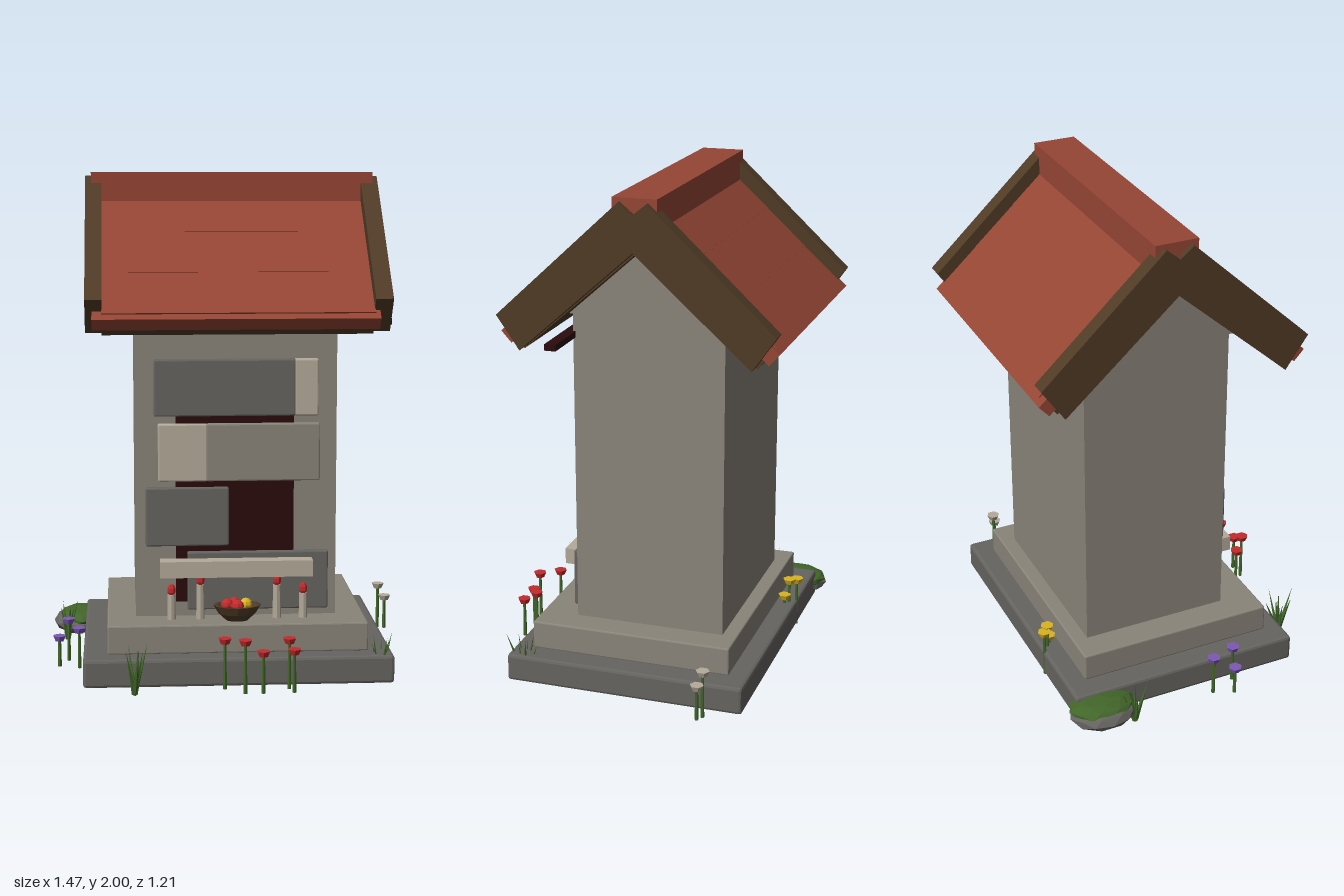
import * as THREE from 'three';
import { RoundedBoxGeometry } from 'three/addons/geometries/RoundedBoxGeometry.js';

const mat = (name, color, extra = {}) => {
  const m = new THREE.MeshStandardMaterial({ color, flatShading: true, ...extra });
  m.name = name;
  return m;
};

export function createModel() {
  const root = new THREE.Group();
  const wall = mat('wallStone', 0x8a857a);
  const stone = mat('darkStone', 0x666460);
  const pale = mat('paleStone', 0xb3aa99);
  const tile = mat('roofRed', 0x964635);
  const wood = mat('darkWood', 0x503b26);
  const maroon = mat('darkMaroon', 0x2a0b0d);
  const red = mat('brightRed', 0xc42a2c);
  const purple = mat('purple', 0x7d58b4);
  const yellow = mat('yellow', 0xd9b322);
  const green = mat('green', 0x42662a);

  const add = (name, geo, m, x = 0, y = 0, z = 0, parent = root) => {
    const mesh = new THREE.Mesh(geo, m);
    mesh.name = name;
    mesh.position.set(x, y, z);
    parent.add(mesh);
    return mesh;
  };
  // Box given by its limits, optionally with softened edges
  const block = (name, m, [x0, x1], [y0, y1], [z0, z1], r = 0) => {
    const s = [x1 - x0, y1 - y0, z1 - z0];
    const geo = r ? new RoundedBoxGeometry(...s, 1, r) : new THREE.BoxGeometry(...s);
    return add(name, geo, m, (x0 + x1) / 2, (y0 + y1) / 2, (z0 + z1) / 2);
  };
  // Profile of [z, y] points extruded along x
  const extrudeX = (name, m, pts, x0, x1) => {
    const shape = new THREE.Shape(pts.map(([z, y]) => new THREE.Vector2(-z, y)));
    const geo = new THREE.ExtrudeGeometry(shape, { depth: x1 - x0, bevelEnabled: false });
    geo.rotateY(Math.PI / 2);
    return add(name, geo, m, x0, 0, 0);
  };
  const RIDGE = -0.058;
  // Right half of a symmetric gable profile, given from the ridge outward and back
  const gable = (half) => [
    ...half.map(([d, y]) => [RIDGE + d, y]),
    ...half.filter(([d]) => d > 0).reverse().map(([d, y]) => [RIDGE - d, y]),
  ];

  // Stepped base and body
  block('baseSlab', stone, [-0.59, 0.63], [0.013, 0.125], [-0.5, 0.478], 0.012);
  block('upperStep', wall, [-0.495, 0.535], [0.125, 0.24], [-0.42, 0.4], 0.006);
  block('body', wall, [-0.38, 0.42], [0.235, 1.52], [-0.36, 0.25]);
  extrudeX('gableWall', wall, [[-0.36, 1.515], [0.25, 1.515], [RIDGE, 1.79]], -0.42, 0.46);

  // Dark opening with the slabs that close it
  block('opening', maroon, [-0.22, 0.25], [0.3, 1.15], [0.25, 0.257]);
  const slabs = [
    [stone, -0.305, 0.255, 1.05, 1.275], [pale, 0.25, 0.345, 1.05, 1.275],
    [wall, -0.1, 0.352, 0.79, 1.02], [pale, -0.29, -0.095, 0.79, 1.02],
    [stone, -0.34, -0.01, 0.53, 0.765], [stone, -0.175, 0.387, 0.27, 0.505],
  ];
  for (const [m, x0, x1, y0, y1] of slabs)
    block('frontSlab', m, [x0, x1], [y0, y1], [0.245, 0.278], 0.006);
  block('shelf', pale, [-0.285, 0.32], [0.415, 0.48], [0.275, 0.34]);

  // Roof deck and gable boards
  extrudeX('roofDeck', wood, gable([[0, 1.79], [0.46, 1.385], [0.515, 1.45], [0, 1.93]]), -0.505, 0.54);
  for (const [x0, x1] of [[-0.568, -0.503], [0.537, 0.605]])
    extrudeX('gableBoard', wood,
      gable([[0, 1.8], [0.455, 1.394], [0.547, 1.526], [0.055, 1.985], [0, 1.94]]), x0, x1);

  // Overlapping red planks and eave bars on both slopes
  const slope = 0.91, angle = Math.atan(slope);
  for (const side of [1, -1]) {
    [[0.02, 0.2], [0.19, 0.363], [0.353, 0.52]].forEach(([d0, d1], i) => {
      const d = (d0 + d1) / 2;
      const plank = add('roofPlank',
        new THREE.BoxGeometry(1.045, 0.035, (d1 - d0) / Math.cos(angle)), tile,
        0.0175, 1.935 - slope * d + 0.002 * (2 - i), RIDGE + side * d);
      plank.rotation.x = side * angle;
    });
    const bar = add('eaveBar', new THREE.BoxGeometry(1.1, 0.06, 0.06), tile,
      0.008, 1.45, RIDGE + side * 0.505);
    bar.rotation.x = side * angle;
  }
  block('ridgeCap', tile, [-0.545, 0.585], [1.875, 2], [-0.147, 0.027]);
  block('sidePeg', maroon, [0.3, 0.63], [1.41, 1.435], [0.24, 0.285]);

  // Candles
  for (const [x, h] of [[-0.24, 0.1], [-0.125, 0.14], [0.18, 0.135], [0.285, 0.1]]) {
    add('candle', new THREE.CylinderGeometry(0.015, 0.017, h, 8), pale, x, 0.24 + h / 2, 0.3);
    const flame = add('flame', new THREE.SphereGeometry(0.017, 6, 5), red, x, 0.258 + h, 0.3);
    flame.scale.y = 1.5;
  }

  // Bowl of fruit
  const bowlProfile = [[0, 0.24], [0.045, 0.24], [0.075, 0.268], [0.095, 0.302], [0.08, 0.302], [0.05, 0.275], [0, 0.27]];
  const bowl = add('bowl', new THREE.LatheGeometry(bowlProfile.map((p) => new THREE.Vector2(...p)), 12), wood, 0.02, 0, 0.325);
  bowl.scale.z = 0.75;
  [[-0.02, 0.325, red], [0.02, 0.345, red], [0.055, 0.315, yellow], [0.01, 0.3, red]].forEach(([x, z, m]) =>
    add('fruit', new THREE.SphereGeometry(0.026, 8, 6), m, x, 0.3, z));

  // Flowers: x, z, height
  const flowers = [
    [red, [[-0.04, 0.51, 0.205], [0.035, 0.575, 0.215], [0.105, 0.575, 0.17], [0.21, 0.52, 0.205], [0.225, 0.57, 0.175]]],
    [purple, [[-0.655, 0.08, 0.18], [-0.69, 0.16, 0.13], [-0.61, 0.19, 0.17]]],
    [pale, [[0.685, -0.36, 0.2], [0.712, -0.345, 0.15]]],
    [yellow, [[-0.2, -0.455, 0.155], [-0.25, -0.495, 0.215], [-0.22, -0.47, 0.22]]],
  ];
  for (const [m, list] of flowers)
    for (const [x, z, h] of list) {
      const flower = new THREE.Group();
      flower.name = 'flower';
      flower.position.set(x, 0.013, z);
      root.add(flower);
      add('stem', new THREE.CylinderGeometry(0.006, 0.008, h - 0.013, 5), green, 0, (h - 0.013) / 2, 0, flower);
      add('blossom', new THREE.CylinderGeometry(0.028, 0.018, 0.022, 6), m, 0, h - 0.013, 0, flower);
    }

  // Grass tufts: x, z, blade length
  for (const [x, z, len] of [[-0.39, 0.53, 0.2], [-0.67, -0.28, 0.17], [0.58, 0.42, 0.2]]) {
    const tuft = new THREE.Group();
    tuft.name = 'grassTuft';
    tuft.position.set(x, 0.005, z);
    root.add(tuft);
    for (let i = 0; i < 7; i++) {
      const l = len * (0.8 + 0.25 * ((i * 3) % 7) / 6);
      const geo = new THREE.ConeGeometry(0.012, l, 4);
      geo.translate(0, l / 2, 0);
      const blade = add('grassBlade', geo, green, 0, 0, 0, tuft);
      blade.rotation.set(0, (i * Math.PI * 2) / 7, 0.2 + 0.08 * (i % 3));
    }
  }

  // Mossy rock
  const rock = add('rock', new THREE.IcosahedronGeometry(1, 1), stone, -0.62, 0.058, -0.4);
  rock.scale.set(0.112, 0.052, 0.14);
  const moss = add('moss', new THREE.IcosahedronGeometry(1, 1), green, -0.607, 0.08, -0.4);
  moss.scale.set(0.104, 0.04, 0.138);

  return root;
}
